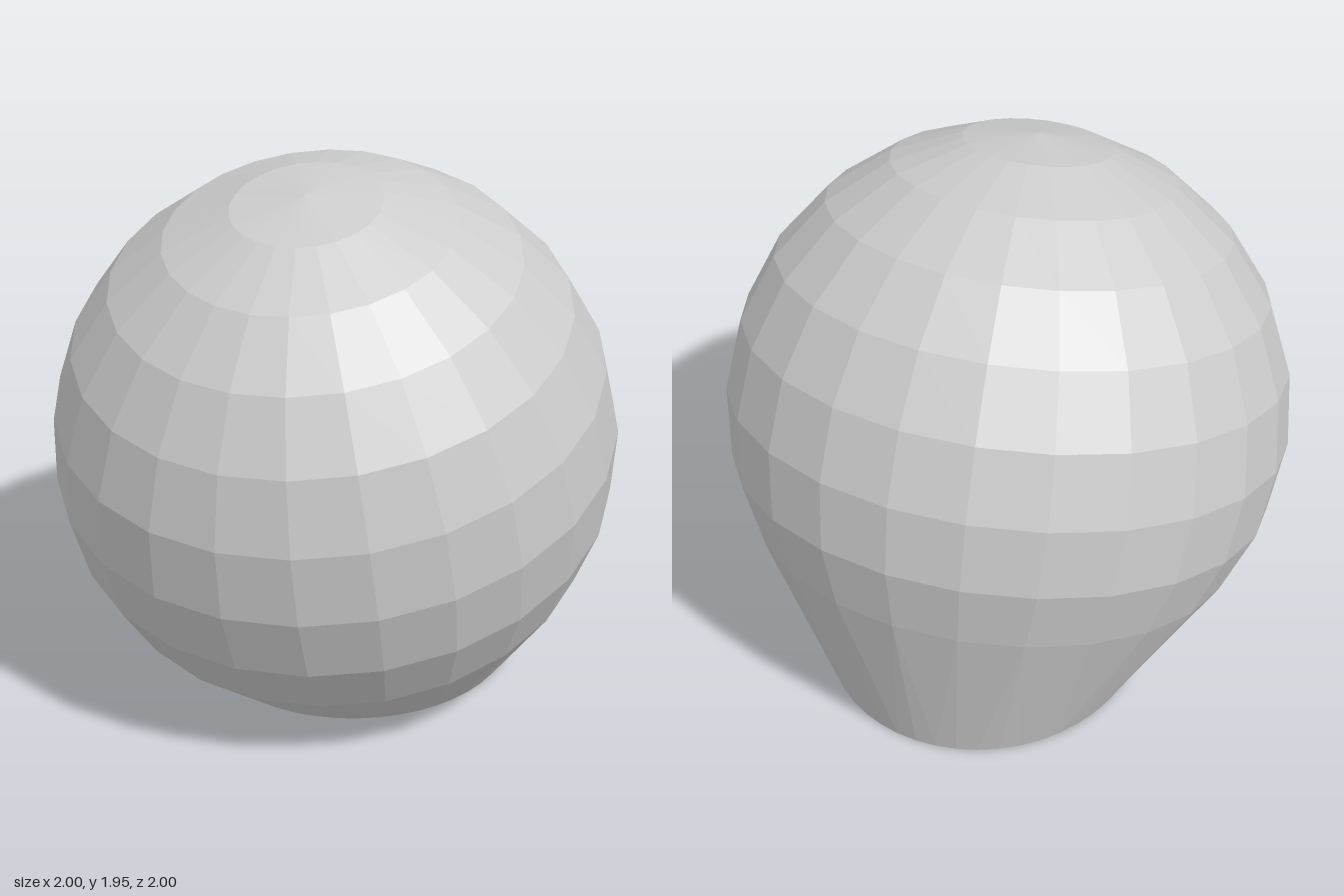
import * as THREE from 'three';

const TILT = Math.PI / 12;
const SEGMENTS = 24;
const CENTRE_Y = 0.945;

// Non-indexed triangles with one normal per face
function faceted(points) {
  const geometry = new THREE.BufferGeometry().setFromPoints(points);
  geometry.computeVertexNormals();
  return geometry;
}

export function createModel() {
  const group = new THREE.Group();
  group.name = 'taperedGlobe';
  const grey = new THREE.MeshStandardMaterial({ color: 0xcccccc });
  grey.name = 'plain grey';
  const add = (name, geometry) => {
    const mesh = new THREE.Mesh(geometry, grey);
    mesh.name = name;
    group.add(mesh);
  };

  // Faceted globe, leaning forward and cut 30 degrees below its equator
  const globe = new THREE.SphereGeometry(1, SEGMENTS, 8, 0, Math.PI * 2, 0, Math.PI * 2 / 3)
    .rotateX(TILT).translate(0, CENTRE_Y, 0).toNonIndexed();
  globe.computeVertexNormals();
  add('globe', globe);

  // Rim of the globe cut, and the level oval it stands on
  const step = Math.PI * 2 / SEGMENTS;
  const rim = (i) => new THREE.Vector3(0.866 * Math.cos(i * step), -0.5, 0.866 * Math.sin(i * step))
    .applyAxisAngle(new THREE.Vector3(1, 0, 0), TILT).add(new THREE.Vector3(0, CENTRE_Y, 0));
  const foot = (i) => new THREE.Vector3(0.572 * Math.cos(i * step), 0, -0.22 + 0.605 * Math.sin(i * step));

  // Tapered neck from rim to foot, with twice as many points around the foot
  const neck = [], base = [];
  const middle = new THREE.Vector3(0, 0, -0.22);
  for (let i = 0; i < SEGMENTS; i++) {
    const a = rim(i), b = rim(i + 1);
    const p = foot(i), m = foot(i + 0.5), q = foot(i + 1);
    neck.push(a, b, m, a, m, p, b, q, m);
    base.push(middle, p, m, middle, m, q);
  }
  add('neck', faceted(neck));
  add('base', faceted(base));
  return group;
}
